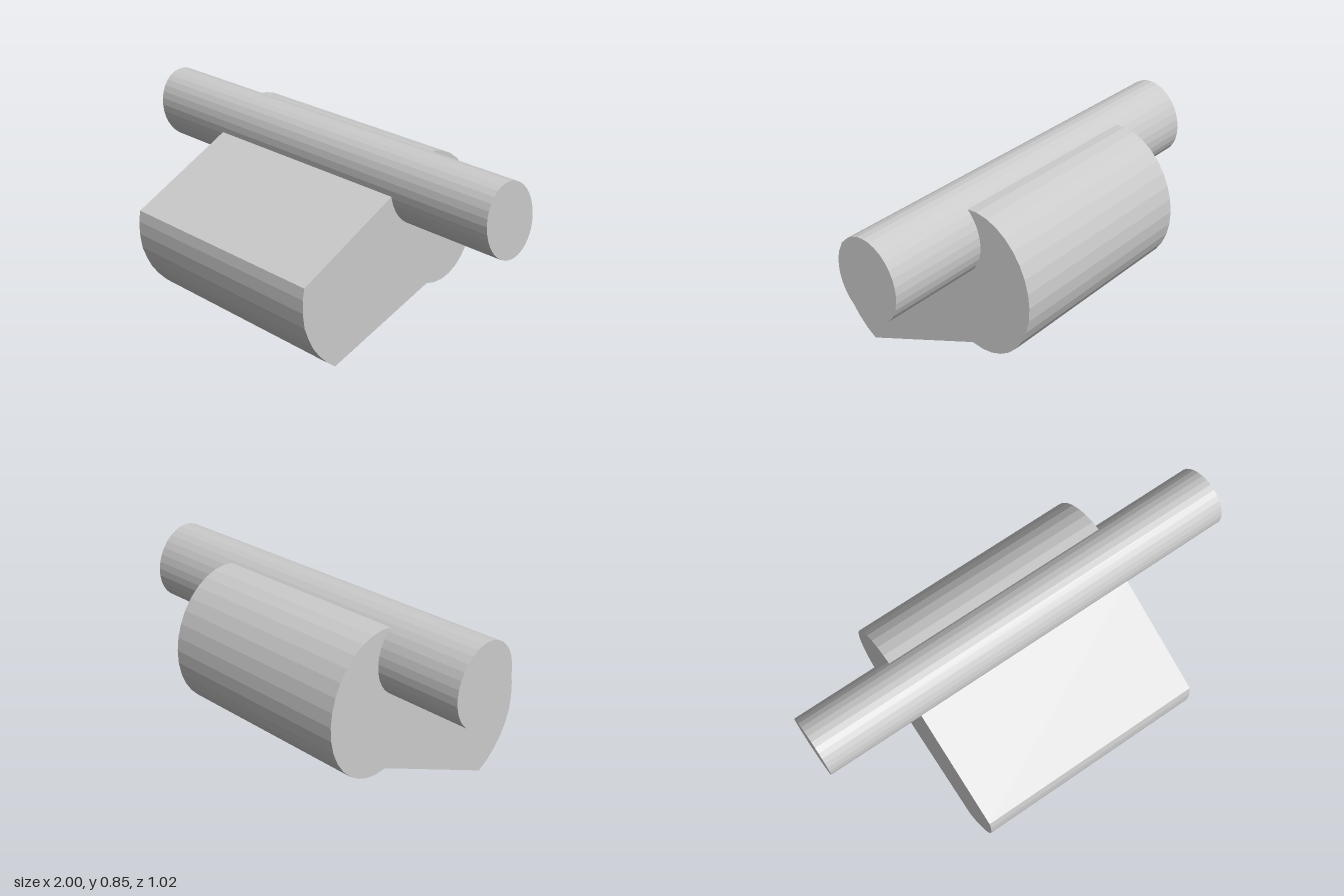
import * as THREE from 'three';

const material = new THREE.MeshStandardMaterial({ color: 0xcccccc, flatShading: true });

// Points of a tilted ellipse; the outline plane runs backward (-z) and up (y)
function ellipse(back, up, rBack, rUp, fromDeg, toDeg, tiltDeg, segments) {
  const rad = THREE.MathUtils.degToRad;
  return new THREE.EllipseCurve(back, up, rBack, rUp, rad(fromDeg), rad(toDeg), false, rad(tiltDeg))
    .getPoints(segments);
}

// Extrude an outline sideways from x0 to x1
function sidewaysPrism(name, points, x0, x1) {
  const geometry = new THREE.ExtrudeGeometry(new THREE.Shape(points), {
    depth: x1 - x0, bevelEnabled: false, steps: 1,
  });
  geometry.rotateY(Math.PI / 2);
  geometry.translate(x0, 0, 0);
  const mesh = new THREE.Mesh(geometry, material);
  mesh.name = name;
  return mesh;
}

export function createModel() {
  const group = new THREE.Group();
  group.name = 'model';

  // Wedge body: curved nose, flat top and bottom slopes, bulging rounded back
  const nose = [
    [-0.505, 0.42], [-0.513, 0.37], [-0.513, 0.31], [-0.503, 0.24], [-0.48, 0.18],
    [-0.455, 0.13], [-0.42, 0.083], [-0.375, 0.035], [-0.33, 0],
  ].map(([b, u]) => new THREE.Vector2(b, u));
  const bulge = ellipse(0.26, 0.49, 0.244, 0.318, -121, 92, 18, 19);
  const slopeTop = new THREE.Vector2(-0.015, 0.667);
  group.add(sidewaysPrism('body', [...nose, ...bulge, slopeTop], -0.56, 0.5));

  // Long oval crossbar sunk into the top of the body
  const oval = ellipse(0.125, 0.677, 0.138, 0.178, 0, 360, 21.5, 32).slice(0, -1);
  group.add(sidewaysPrism('crossbar', oval, -1, 1));

  return group;
}
